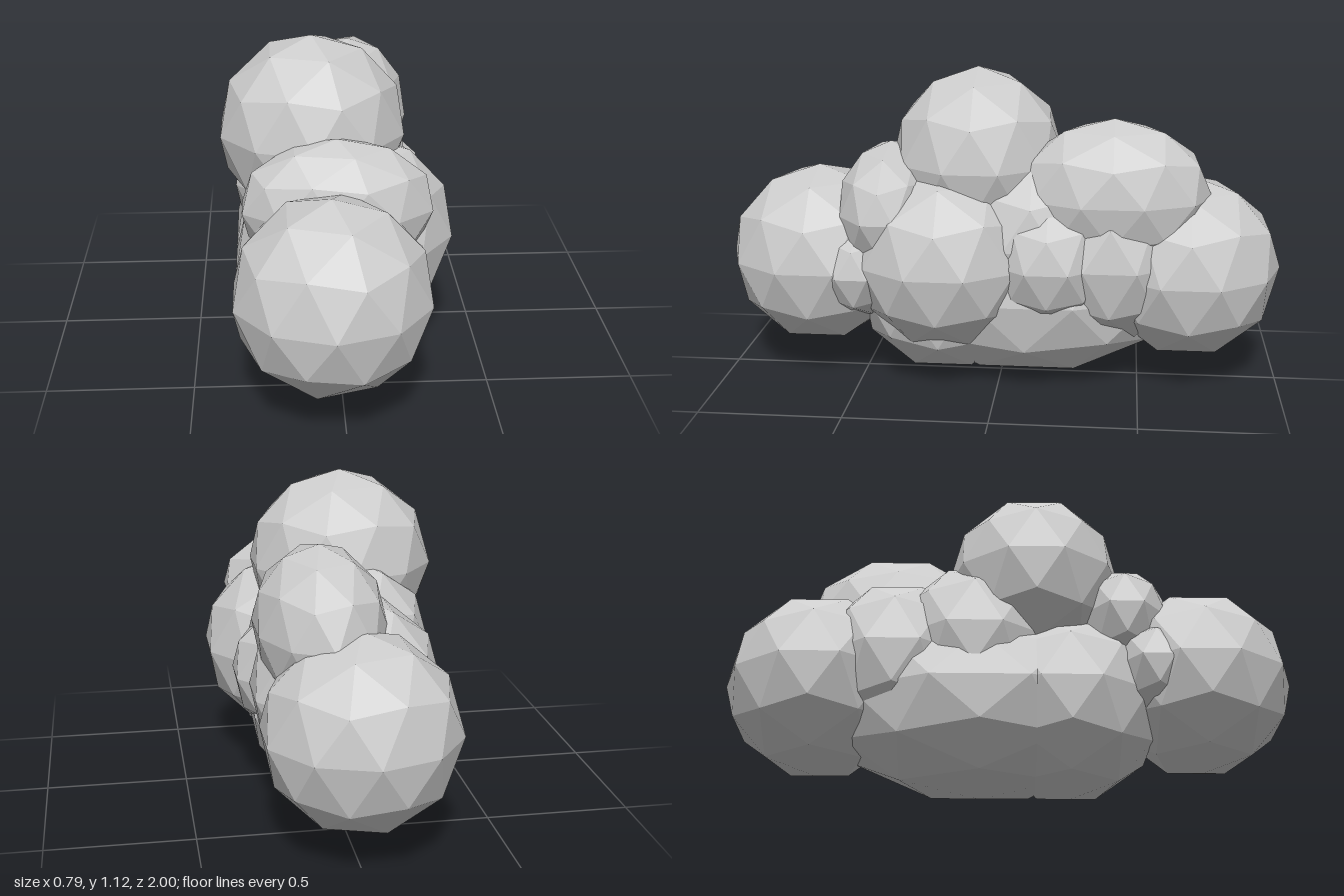
import * as THREE from 'three';

// Faceted unit ball: a once-subdivided icosahedron standing on one of its points
function facetedBall() {
  const vertices = [0, 1, 0, 0, -1, 0];
  const faces = [];
  const h = Math.sqrt(0.2), r = 2 * h;
  for (let k = 0; k < 5; k++) {
    const a = (k * 2 * Math.PI) / 5, b = a + Math.PI / 5;
    vertices.push(r * Math.cos(a), h, -r * Math.sin(a)); // upper ring
    vertices.push(r * Math.cos(b), -h, -r * Math.sin(b)); // lower ring
    const n = (k + 1) % 5;
    const u = 2 + 2 * k, l = u + 1, u2 = 2 + 2 * n, l2 = u2 + 1;
    faces.push(0, u, u2, u, l, u2, l, l2, u2, 1, l2, l);
  }
  return new THREE.PolyhedronGeometry(vertices, faces, 1, 1);
}

export function createModel() {
  const group = new THREE.Group();
  group.name = 'cloud';
  const cloudGrey = new THREE.MeshStandardMaterial({ color: 0xcccccc });
  cloudGrey.name = 'cloudGrey';
  const ball = facetedBall();

  // name, centre, radii
  const puffs = [
    ['frontPuff', [-0.04, 0.43, 0.67], [0.33, 0.33, 0.33]],
    ['backPuff', [-0.02, 0.42, -0.67], [0.33, 0.33, 0.33]],
    ['topPuff', [-0.083, 0.79, 0.09], [0.33, 0.33, 0.3125]],
    ['upperBackPuff', [0.07, 0.694, -0.4], [0.224, 0.273, 0.345]],
    ['leftPuff', [0.078, 0.457, 0.197], [0.33, 0.33, 0.33]],
    ['frontBasePuff', [-0.04, 0.332, 0.205], [0.33, 0.33, 0.335]],
    ['longBasePuff', [-0.04, 0.332, -0.1], [0.33, 0.33, 0.55]],
    ['upperFrontFill', [-0.01, 0.622, 0.4], [0.33, 0.235, 0.19]],
    ['lowerFrontFill', [-0.025, 0.42, 0.5], [0.327, 0.21, 0.18]],
    ['centreFill', [-0.04, 0.53, -0.12], [0.33, 0.33, 0.31]],
    ['leftFill', [0.06, 0.47, -0.18], [0.285, 0.25, 0.24]],
    ['backFill', [-0.02, 0.47, -0.395], [0.33, 0.33, 0.3]],
  ];
  for (const [name, centre, radii] of puffs) {
    const geometry = ball.clone().scale(...radii);
    geometry.computeVertexNormals(); // unshared corners keep every facet flat
    const puff = new THREE.Mesh(geometry, cloudGrey);
    puff.name = name;
    puff.position.set(...centre);
    group.add(puff);
  }
  return group;
}
